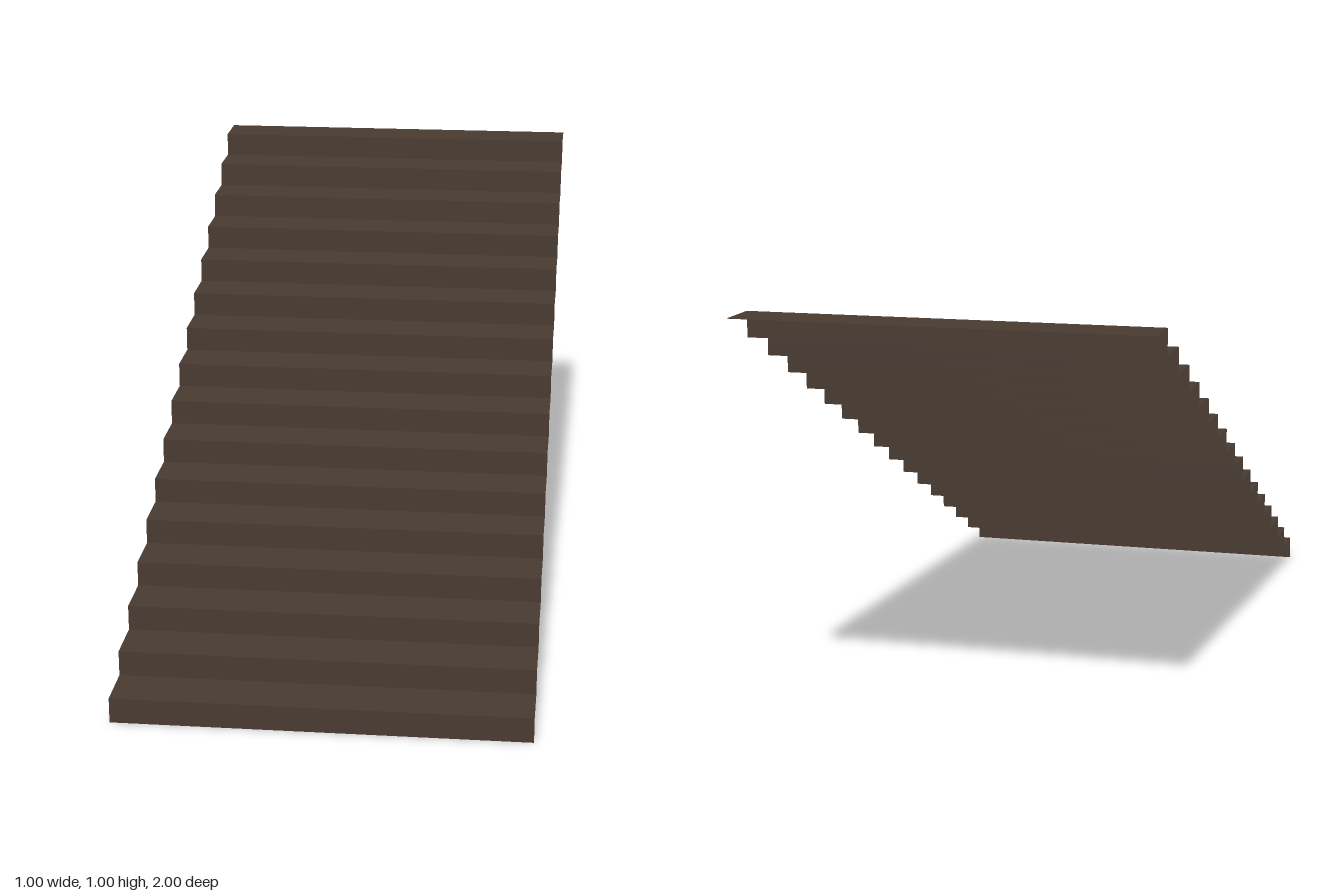
import * as THREE from 'three';

// A thin folded flight of stairs: riser, tread, riser, tread...
const STEPS = 16;
const WIDTH = 1;
const RISE = 1 / STEPS;
const RUN = 2 / STEPS;

export function createModel() {
  const model = new THREE.Group();
  model.name = 'staircase';

  const darkWood = new THREE.MeshStandardMaterial({ color: 0x483a31, side: THREE.DoubleSide });
  darkWood.name = 'dark brown wood';

  const riserGeometry = new THREE.PlaneGeometry(WIDTH, RISE);
  const treadGeometry = new THREE.PlaneGeometry(WIDTH, RUN).rotateX(-Math.PI / 2);

  for (let i = 0; i < STEPS; i++) {
    const step = new THREE.Group();
    step.name = `step${i + 1}`;
    step.position.set(0, i * RISE, 1 - i * RUN);

    // Upright face at the front of the step
    const riser = new THREE.Mesh(riserGeometry, darkWood);
    riser.name = 'riser';
    riser.position.y = RISE / 2;

    // Flat surface running back to the next riser
    const tread = new THREE.Mesh(treadGeometry, darkWood);
    tread.name = 'tread';
    tread.position.set(0, RISE, -RUN / 2);

    step.add(riser, tread);
    model.add(step);
  }
  return model;
}
